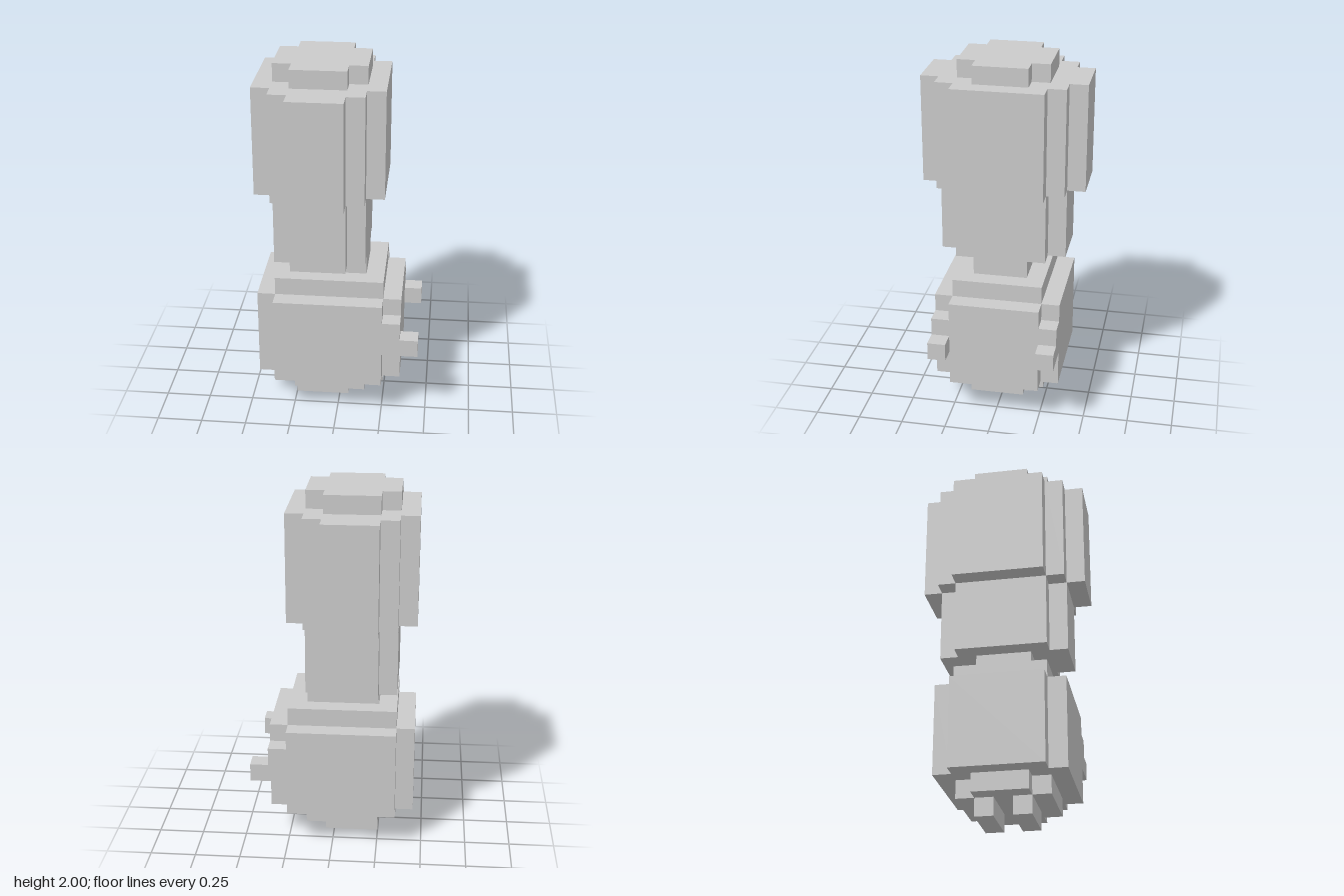
import * as THREE from 'three';

const material = new THREE.MeshStandardMaterial({ color: 0xcccccc, flatShading: true });

// Blocky layer between y0 and y1. Each step is [xMin, xMax, zHalf], from widest in x to narrowest.
function layer(name, y0, y1, steps) {
  const half = [];
  steps.forEach(([x0, , z], i) => {
    if (i > 0) half.push([x0, steps[i - 1][2]]);
    half.push([x0, z]);
  });
  for (let i = steps.length - 1; i >= 0; i--) {
    half.push([steps[i][1], steps[i][2]]);
    if (i > 0) half.push([steps[i][1], steps[i - 1][2]]);
  }
  const mirrored = half.map(([x, z]) => [x, -z]).reverse();
  const shape = new THREE.Shape([...half, ...mirrored].map(([x, z]) => new THREE.Vector2(x, z)));
  const geometry = new THREE.ExtrudeGeometry(shape, { depth: y1 - y0, bevelEnabled: false });
  geometry.rotateX(-Math.PI / 2).translate(0, y0, 0);
  return named(name, geometry);
}

function named(name, geometry) {
  const mesh = new THREE.Mesh(geometry, material);
  mesh.name = name;
  return mesh;
}

export function createModel() {
  const model = new THREE.Group();
  model.name = 'blockFigure';

  // Lower body with cut corners, stepped underside and shoulder plate
  model.add(
    layer('underside', 0.1, 0.2, [[-0.35, 0.25, 0.15], [-0.25, 0.15, 0.25]]),
    layer('body', 0.2, 0.7, [[-0.45, 0.35, 0.25], [-0.35, 0.25, 0.35]]),
    layer('shoulders', 0.7, 0.8, [[-0.35, 0.25, 0.25]]),
    // Neck, column and wide head
    layer('neck', 0.8, 0.9, [[-0.25, 0.15, 0.15]]),
    layer('column', 0.9, 1.3, [[-0.35, 0.15, 0.25], [-0.25, 0.05, 0.35]]),
    layer('head', 1.3, 1.9, [[-0.45, 0.25, 0.25], [-0.35, 0.15, 0.35], [-0.25, 0.05, 0.45]]),
    layer('crown', 1.9, 2.0, [[-0.35, 0.15, 0.15], [-0.25, 0.05, 0.25]])
  );

  // Stepped arms and feet, mirrored in z
  const armShape = new THREE.Shape([
    [0.25, 0.4], [0.45, 0.4], [0.45, 0.5], [0.35, 0.5], [0.35, 0.6], [0.25, 0.6],
  ].map(([x, y]) => new THREE.Vector2(x, y)));
  for (const side of [1, -1]) {
    const suffix = side > 0 ? 'Front' : 'Back';
    const arm = new THREE.ExtrudeGeometry(armShape, { depth: 0.1, bevelEnabled: false });
    arm.translate(0, 0, side * 0.3 - 0.05);
    const foot = new THREE.BoxGeometry(0.3, 0.1, 0.1).translate(-0.1, 0.05, side * 0.1);
    model.add(named('arm' + suffix, arm), named('foot' + suffix, foot));
  }
  return model;
}
